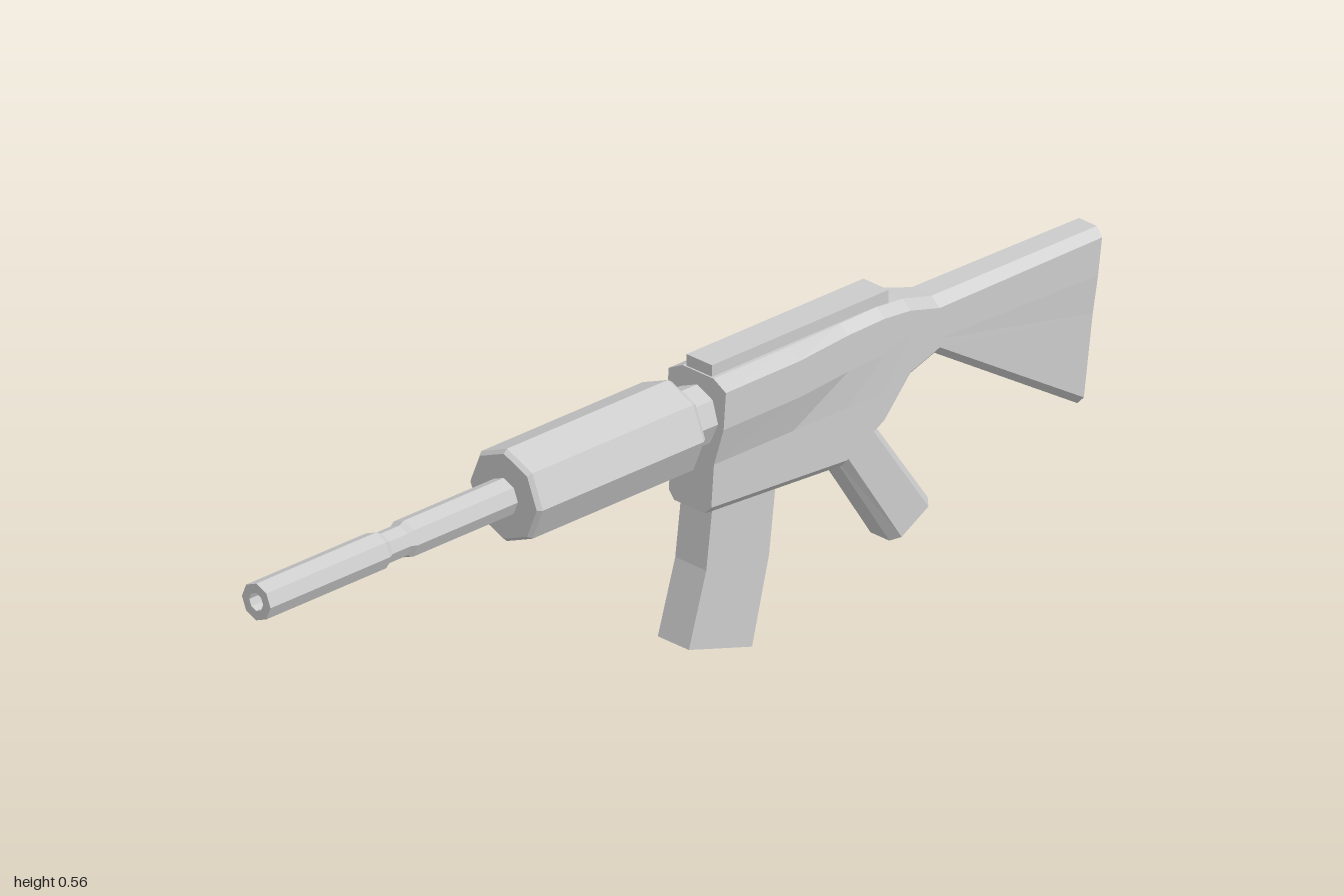
import * as THREE from 'three';

const material = new THREE.MeshStandardMaterial({ color: 0xcccccc, flatShading: true });
const AXIS_Y = 0.466;

function addMesh(group, name, geometry) {
  const mesh = new THREE.Mesh(geometry, material);
  mesh.name = name;
  group.add(mesh);
  return mesh;
}

// Eight-sided turned part along z; profile is [radius, z] with z rising
function turned(profile) {
  const points = profile.map(([r, z]) => new THREE.Vector2(r, z));
  return new THREE.LatheGeometry(points, 8).rotateX(Math.PI / 2).translate(0, AXIS_Y, 0);
}

// Skin a row of half sections ([x, y, z], x > 0), mirrored across x = 0, with capped ends
function loft(halves) {
  const rings = halves.map(h => [...h, ...h.map(([x, y, z]) => [-x, y, z]).reverse()]);
  const n = rings[0].length;
  const positions = [];
  const tri = (a, b, c) => positions.push(...a, ...b, ...c);
  const centre = ring => [0, 1, 2].map(k => ring.reduce((s, p) => s + p[k], 0) / n);
  const first = rings[0], last = rings[rings.length - 1];
  const c0 = centre(first), c1 = centre(last);
  for (let j = 0; j < n; j++) {
    const k = (j + 1) % n;
    for (let i = 0; i < rings.length - 1; i++) {
      tri(rings[i][j], rings[i][k], rings[i + 1][j]);
      tri(rings[i][k], rings[i + 1][k], rings[i + 1][j]);
    }
    tri(c0, first[k], first[j]);
    tri(c1, last[j], last[k]);
  }
  const geometry = new THREE.BufferGeometry();
  geometry.setAttribute('position', new THREE.Float32BufferAttribute(positions, 3));
  geometry.computeVertexNormals();
  return geometry;
}

// Body section: z, top, bottom, upper and lower half width, top flat half width, lean of the section
function bodySection([z, top, bottom, wide, narrow, flat, lean = 0]) {
  const height = top - bottom;
  const high = top - Math.min(0.085, height * 0.4);
  const low = top - Math.min(0.155, height * 0.7);
  return [
    [flat, top], [wide, top - 0.016], [wide, high],
    [narrow, low], [narrow, bottom + 0.015], [narrow - 0.014, bottom],
  ].map(([x, y]) => [x, y, z + lean * (top - y)]);
}

// Section across z for hanging parts, from the rear edge to the front edge
function hangingSection([rearZ, rearY, frontZ, frontY], outline) {
  return outline.map(([x, t]) => [x, rearY + (frontY - rearY) * t, rearZ + (frontZ - rearZ) * t]);
}

export function createModel() {
  const model = new THREE.Group();
  model.name = 'rifle';

  // Barrel with a waist behind the hollow muzzle
  addMesh(model, 'barrel', turned([
    [0, 0.38], [0.035, 0.38], [0.035, 0.645], [0.029, 0.657], [0.029, 0.7],
    [0.035, 0.712], [0.035, 1], [0.017, 1], [0.017, 0.96], [0, 0.96],
  ]));

  // Handguard and the collar joining it to the body
  addMesh(model, 'handguard', turned([
    [0, 0], [0.081, 0], [0.088, 0.01], [0.088, 0.397], [0.081, 0.405], [0, 0.405],
  ]));
  addMesh(model, 'collar', turned([[0, -0.1], [0.056, -0.1], [0.056, 0.02], [0, 0.02]]));

  // Receiver running back into the shoulder stock
  addMesh(model, 'receiverAndStock', loft([
    [-0.062, 0.545, 0.295, 0.07, 0.052, 0.038, 0.08],
    [-0.24, 0.545, 0.283, 0.069, 0.052, 0.038],
    [-0.37, 0.545, 0.275, 0.055, 0.052, 0.035],
    [-0.46, 0.545, 0.32, 0.052, 0.051, 0.033],
    [-0.525, 0.538, 0.39, 0.05, 0.05, 0.03],
    [-0.6, 0.516, 0.41, 0.045, 0.045, 0.024],
    [-1, 0.513, 0.19, 0.037, 0.034, 0.022, 0.14],
  ].map(bodySection)));

  // Flat rail on top of the receiver
  addMesh(model, 'topRail', new THREE.BoxGeometry(0.062, 0.04, 0.425)).position.set(0, 0.547, -0.278);

  // Magazine, bent forward
  const magazineOutline = [[0.038, 0], [0.038, 1]];
  addMesh(model, 'magazine', loft([
    [-0.215, 0.32, -0.062, 0.32],
    [-0.196, 0.165, -0.045, 0.185],
    [-0.155, 0.003, -0.003, 0.048],
  ].map(s => hangingSection(s, magazineOutline))));

  // Pistol grip with bevelled front and rear edges
  const gripOutline = [[0.023, 0], [0.039, 0.15], [0.039, 0.85], [0.023, 1]];
  addMesh(model, 'grip', loft([
    [-0.443, 0.345, -0.357, 0.3],
    [-0.592, 0.135, -0.5, 0.083],
  ].map(s => hangingSection(s, gripOutline))));

  return model;
}
